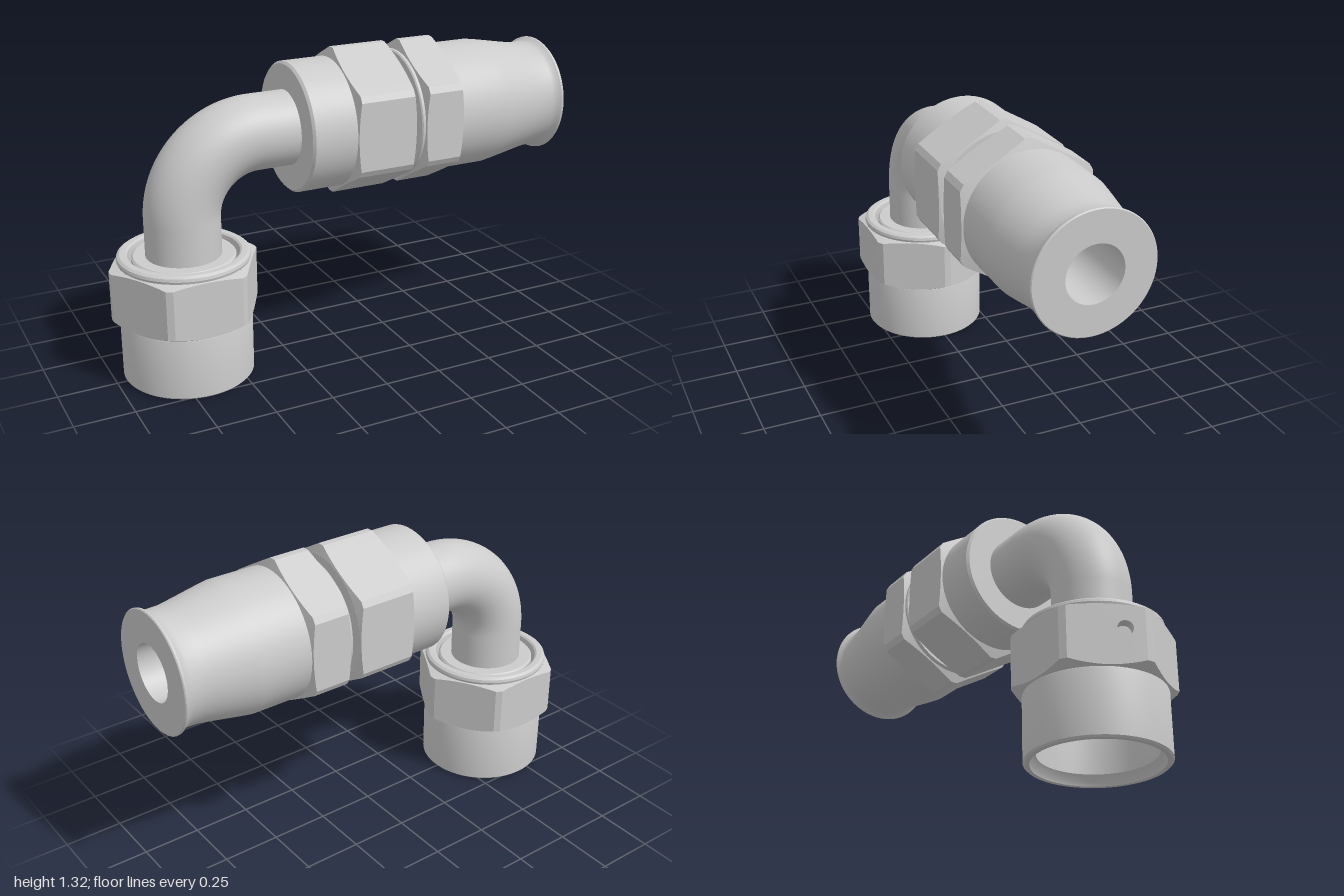
import * as THREE from 'three';
import { toCreasedNormals, mergeGeometries } from 'three/addons/utils/BufferGeometryUtils.js';

const material = new THREE.MeshStandardMaterial({ color: 0xcccccc });
const NUT_X = -0.685, AXIS_Y = 1.003, TUBE_R = 0.157, BEND_R = 0.315;
const FLAT = 0.28, CORNER = 0.315, BASE = 0.273; // hex flat, truncated corner, chamfer foot
const HALF = Math.sqrt(CORNER * CORNER - FLAT * FLAT);

function part(name, geometry) {
  const mesh = new THREE.Mesh(geometry, material);
  mesh.name = name;
  return mesh;
}

function turned(name, profile) {
  const pts = profile.map(([r, y]) => new THREE.Vector2(r, y));
  return part(name, toCreasedNormals(new THREE.LatheGeometry(pts, 72), 0.5));
}

// Hexagon band around y with conical chamfers, which scallop the edges of the flats.
// s0 and s1 are the chamfer slopes; hole = { facet, x, y, r } drills one flat.
function hexBand(name, y0, y1, s0, s1, hole) {
  const STEPS = 14, cols = [];
  const edge = (u) => {
    const d = Math.hypot(FLAT, u) - BASE;
    return [y0 + d * s0, y1 - d * s1];
  };
  for (let f = 0; f < 6; f++) {
    const phi = Math.PI / 6 + f * Math.PI / 3;
    for (let i = 0; i <= STEPS; i++) {
      const u = HALF * (2 * i / STEPS - 1);
      const x = FLAT * Math.cos(phi) - u * Math.sin(phi);
      const z = FLAT * Math.sin(phi) + u * Math.cos(phi);
      const k = BASE / Math.hypot(x, z), [lo, hi] = edge(u);
      cols.push([[x * k, y0, z * k], [x, lo, z], [x, hi, z], [x * k, y1, z * k]]);
    }
  }
  const pos = [];
  cols.forEach((a, i) => {
    const b = cols[(i + 1) % cols.length];
    const facet = Math.floor(i / (STEPS + 1));
    const onFlat = i % (STEPS + 1) < STEPS;
    for (let k = 0; k < 3; k++) {
      if (hole && k === 1 && onFlat && facet === hole.facet) continue;
      pos.push(...a[k], ...a[k + 1], ...b[k + 1], ...a[k], ...b[k + 1], ...b[k]);
    }
  });
  const geometry = new THREE.BufferGeometry();
  geometry.setAttribute('position', new THREE.Float32BufferAttribute(pos, 3));
  const group = new THREE.Group();
  group.name = name;
  group.add(part(name + 'Faces', toCreasedNormals(geometry, 0.25)));

  if (hole) {
    // The drilled flat with its blind hole
    const low = [], high = [];
    for (let i = 0; i <= STEPS; i++) {
      const u = HALF * (2 * i / STEPS - 1), [lo, hi] = edge(u);
      low.push(new THREE.Vector2(u, lo));
      high.unshift(new THREE.Vector2(u, hi));
    }
    const shape = new THREE.Shape([...low, ...high]);
    shape.holes.push(new THREE.Path().absarc(hole.x, hole.y, hole.r, 0, Math.PI * 2, true));
    const panel = new THREE.ShapeGeometry(shape, 16).translate(0, 0, FLAT);
    const bore = new THREE.LatheGeometry(
      [[hole.r, 0], [hole.r, -0.045], [0, -0.045]].map(([r, y]) => new THREE.Vector2(r, y)), 24);
    bore.rotateX(Math.PI / 2).translate(hole.x, hole.y, FLAT);
    const flat = mergeGeometries([panel.toNonIndexed(), toCreasedNormals(bore, 0.5)]);
    flat.rotateY(Math.PI / 2 - (Math.PI / 6 + hole.facet * Math.PI / 3));
    group.add(part('drilledFlat', flat));
  }
  return group;
}

export function createModel() {
  const model = new THREE.Group();
  model.name = 'elbowHoseFitting';

  // Swivel nut, upright and open at the bottom
  const nut = new THREE.Group();
  nut.name = 'swivelNut';
  nut.position.x = NUT_X;
  nut.add(turned('nutBody', [
    [BASE, 0.512], [0.276, 0.522], [0.273, 0.534], [0.262, 0.542], [0.238, 0.542],
    [0.23, 0.536], [0.226, 0.52], [0.226, 0.04], [0.245, 0.015], [0.25, 0],
    [0.268, 0], [0.275, 0.007], [0.275, 0.26], [BASE, 0.266],
  ]));
  nut.add(hexBand('nutHex', 0.265, 0.512, 0.58, 0.3, { facet: 3, x: 0.07, y: 0.415, r: 0.03 }));
  // Coned seat ferrule held inside the nut
  nut.add(turned('seatFerrule', [
    [0, 0.5], [0.1, 0.5], [0.1, 0.2], [0.125, 0.2], [0.215, 0.32], [0.215, 0.522],
    [0.207, 0.53], [0.15, 0.53],
  ]));
  model.add(nut);

  // Bent tube: riser, quarter bend, horizontal run
  const tube = new THREE.Group();
  tube.name = 'bentTube';
  const bendX = NUT_X + BEND_R, bendY = AXIS_Y - BEND_R;
  const riser = part('riser', new THREE.CylinderGeometry(TUBE_R, TUBE_R, bendY - 0.5, 64, 1, true));
  riser.position.set(NUT_X, (bendY + 0.5) / 2, 0);
  const bend = part('bend', new THREE.TorusGeometry(BEND_R, TUBE_R, 64, 40, Math.PI / 2).rotateZ(Math.PI / 2));
  bend.position.set(bendX, bendY, 0);
  const runLength = -0.2 - bendX;
  const run = part('run', new THREE.CylinderGeometry(TUBE_R, TUBE_R, runLength, 64, 1, true).rotateZ(Math.PI / 2));
  run.position.set(bendX + runLength / 2, AXIS_Y, 0);
  tube.add(riser, bend, run);
  model.add(tube);

  // Hose end, turned about y and laid along x
  const hoseEnd = new THREE.Group();
  hoseEnd.name = 'hoseEnd';
  hoseEnd.position.y = AXIS_Y;
  hoseEnd.rotation.z = -Math.PI / 2;
  hoseEnd.add(turned('sleeve', [
    [0.15, -0.22], [0.263, -0.22], [BASE, -0.21], [BASE, 0.243], [0.225, 0.243], [0.225, 0.28],
  ]));
  hoseEnd.add(hexBand('sleeveHex', -0.025, 0.243, 0.3, 0.3));
  hoseEnd.add(turned('socket', [
    [0.22, 0.272], [0.268, 0.272], [BASE, 0.277], [BASE, 0.67], [0.266, 0.715], [0.24, 0.86],
    [0.234, 0.9], [0.233, 0.955], [0.238, 0.972], [0.25, 0.988], [0.251, 0.996], [0.247, 1],
    [0.118, 1], [0.118, 0.3], [0, 0.3],
  ]));
  hoseEnd.add(hexBand('socketHex', 0.288, 0.468, 0.3, 0.3));
  model.add(hoseEnd);

  return model;
}
